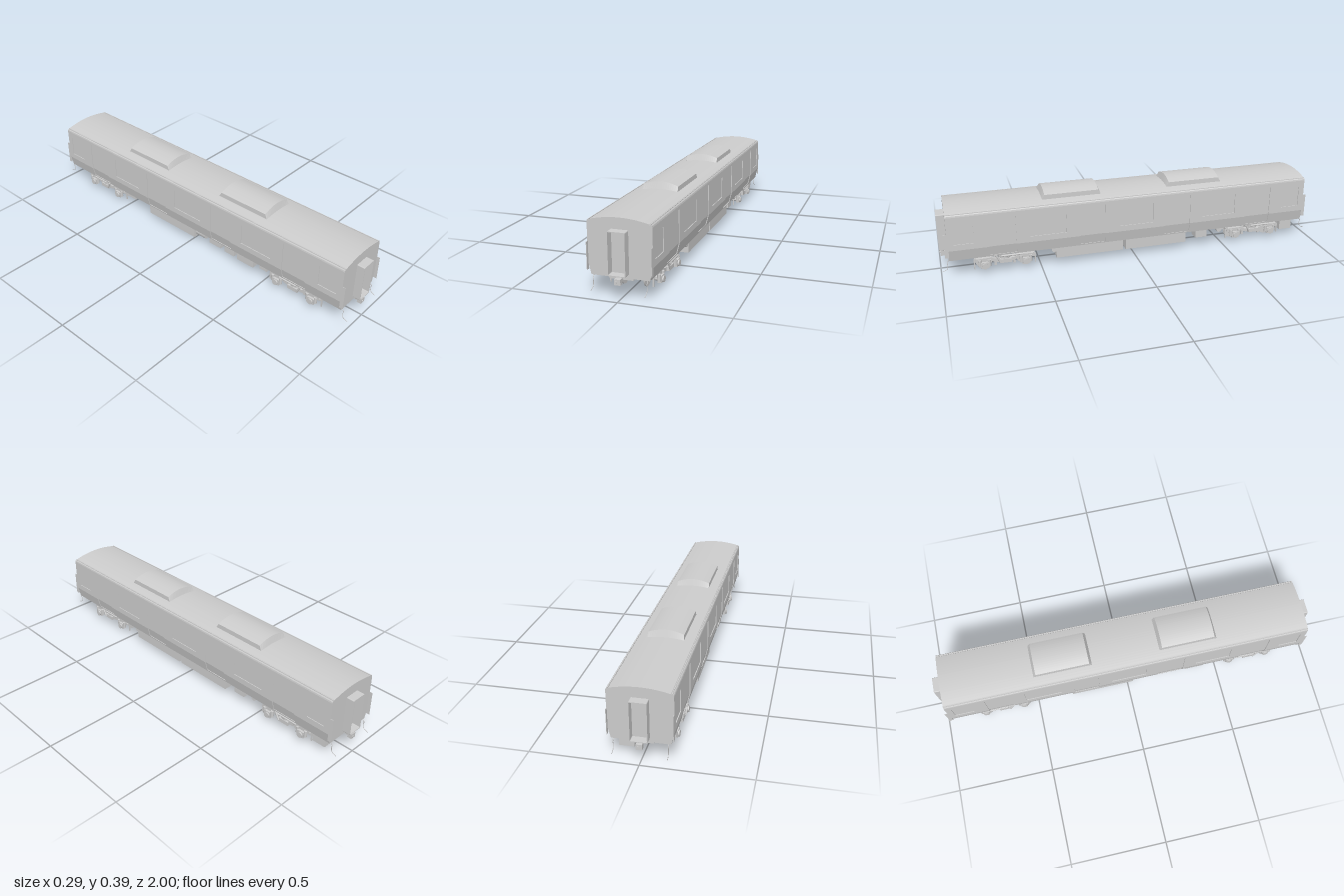
import * as THREE from 'three';

const mat = new THREE.MeshStandardMaterial({ color: 0xcccccc, side: THREE.DoubleSide });

function add(parent, name, geo, x = 0, y = 0, z = 0) {
  const m = new THREE.Mesh(geo, mat);
  m.name = name;
  m.position.set(x, y, z);
  parent.add(m);
  return m;
}

// Box given by its limits
function block(parent, name, x0, x1, y0, y1, z0, z1) {
  const geo = new THREE.BoxGeometry(Math.abs(x1 - x0), y1 - y0, z1 - z0);
  return add(parent, name, geo, (x0 + x1) / 2, (y0 + y1) / 2, (z0 + z1) / 2);
}

// Cylinder along x or z
function rod(parent, name, r, len, axis, x, y, z, sides = 24) {
  const geo = new THREE.CylinderGeometry(r, r, len, sides);
  if (axis === 'x') geo.rotateZ(Math.PI / 2);
  if (axis === 'z') geo.rotateX(Math.PI / 2);
  return add(parent, name, geo, x, y, z);
}

function polygon(points) {
  return new THREE.Shape(points.map(([x, y]) => new THREE.Vector2(x, y)));
}

// Cross-section in x,y drawn out between two z positions
function prism(parent, name, shape, z0, z1) {
  const geo = new THREE.ExtrudeGeometry(shape, { depth: z1 - z0, bevelEnabled: false, curveSegments: 12 });
  return add(parent, name, geo, 0, 0, z0);
}

const BOTTOM = 0.097, KNEE = 0.155, EAVE = 0.33, END = 0.96, RECESS = 0.004;
const sideX = y => (y < KNEE ? 0.133 + 0.014 * (y - BOTTOM) / (KNEE - BOTTOM) : 0.147);

function mirrorPoints(half) {
  return [...half, ...half.slice().reverse().map(([x, y]) => [-x, y])];
}

// Piece of side wall that follows the inward slope of the lower body
function skin(parent, name, side, z0, z1, y0, y1) {
  const ys = [y0, ...(y0 < KNEE && y1 > KNEE ? [KNEE] : []), y1];
  const outer = ys.map(y => [side * sideX(y), y]);
  const inner = ys.map(y => [side * (sideX(y) - RECESS), y]).reverse();
  prism(parent, name, polygon([...outer, ...inner]), z0, z1);
}

function buildBody(group) {
  const half = [[0.133 - RECESS, BOTTOM], [0.147 - RECESS, KNEE], [0.147 - RECESS, EAVE]];
  prism(group, 'bodyCore', polygon(mirrorPoints(half)), -END, END);

  const roof = [[0.147, EAVE], [0.1455, 0.337], [0.142, 0.341], [0.135, 0.34], [0.133, 0.343]];
  for (let i = 1; i <= 10; i++) {
    const x = 0.133 * (1 - i / 10);
    roof.push([x, 0.36 - 0.017 * (x / 0.133) ** 2]);
  }
  prism(group, 'roof', polygon([...roof, ...roof.slice(0, -1).reverse().map(([x, y]) => [-x, y])]), -END, END);

  // Openings along the side: centre, width, lower and upper edge
  const openings = [];
  for (const c of [-0.88, -0.46, 0, 0.46, 0.88])
    openings.push({ kind: 'window', c, w: Math.abs(c) > 0.8 ? 0.1 : 0.185, y0: 0.185, y1: 0.295 });
  for (const c of [-0.69, -0.23, 0.23, 0.69])
    openings.push({ kind: 'door', c, w: 0.136, y0: 0.104, y1: 0.315 });
  openings.sort((a, b) => a.c - b.c);

  for (const s of [-1, 1]) {
    let z = -END;
    for (const o of openings) {
      const a = o.c - o.w / 2, b = o.c + o.w / 2;
      skin(group, 'sidePanel', s, z, a, BOTTOM, EAVE);
      skin(group, o.kind + 'Sill', s, a, b, BOTTOM, o.y0);
      skin(group, o.kind + 'Header', s, a, b, o.y1, EAVE);
      z = b;
    }
    skin(group, 'sidePanel', s, z, END, BOTTOM, EAVE);
    block(group, 'gutter', s * 0.136, s * 0.14, 0.34, 0.3435, -END, END);
    for (const e of [-1, 1])
      block(group, 'cornerPlate', s * 0.1445, s * 0.147, 0.12, 0.245, e * 0.9655 - 0.0095, e * 0.9655 + 0.0095);
  }
}

// Roof unit: arched cross-sections, drawn in at both ends
function buildRoofPod(group, zc) {
  const section = (z, w, edge, top) => {
    const pts = [[-w - 0.001, 0.345, z]];
    for (let i = 0; i <= 16; i++) {
      const t = i / 8 - 1;
      pts.push([t * w, edge + (top - edge) * (1 - t * t), z]);
    }
    pts.push([w + 0.001, 0.345, z]);
    return pts;
  };
  const rings = [
    section(-0.152, 0.088, 0.353, 0.361), section(-0.139, 0.087, 0.376, 0.3945),
    section(0.139, 0.087, 0.376, 0.3945), section(0.152, 0.088, 0.353, 0.361)];
  const pos = [];
  for (let r = 0; r < 3; r++)
    for (let i = 0; i < 18; i++) {
      const [a, b, c, d] = [rings[r][i], rings[r][i + 1], rings[r + 1][i + 1], rings[r + 1][i]];
      pos.push(...a, ...d, ...b, ...b, ...d, ...c);
    }
  const geo = new THREE.BufferGeometry();
  geo.setAttribute('position', new THREE.Float32BufferAttribute(pos, 3));
  geo.computeVertexNormals();
  add(group, 'roofPod', geo, 0, 0, zc);
}

function roundedRect(path, w, y0, y1, r) {
  path.moveTo(-w + r, y0);
  path.lineTo(w - r, y0).quadraticCurveTo(w, y0, w, y0 + r);
  path.lineTo(w, y1 - r).quadraticCurveTo(w, y1, w - r, y1);
  path.lineTo(-w + r, y1).quadraticCurveTo(-w, y1, -w, y1 - r);
  path.lineTo(-w, y0 + r).quadraticCurveTo(-w, y0, -w + r, y0);
  return path;
}

// Gangway, coupler and hoses, built for the +z end
function buildEnd() {
  const end = new THREE.Group();
  end.name = 'endFittings';
  const frame = roundedRect(new THREE.Shape(), 0.04, 0.115, 0.309, 0.005);
  frame.holes.push(roundedRect(new THREE.Path(), 0.037, 0.118, 0.306, 0.004));
  prism(end, 'gangwayFrame', frame, 0.955, 1);
  block(end, 'couplerHead', -0.014, 0.014, 0.075, 0.101, 0.972, 0.995);
  block(end, 'couplerShank', -0.008, 0.008, 0.08, 0.096, 0.88, 0.972);
  rod(end, 'couplerPin', 0.005, 0.006, 'z', -0.005, 0.088, 0.996, 12);
  block(end, 'headstock', -0.055, 0.055, 0.085, 0.1, 0.925, 0.95);
  for (const s of [-1, 1]) {
    const curve = new THREE.CatmullRomCurve3([[0.1, 0.955], [0.085, 0.968], [0.07, 0.966], [0.05, 0.97], [0.04, 0.985], [0.038, 0.995]]
      .map(([y, z]) => new THREE.Vector3(s * 0.122, y, z)));
    add(end, 'hose', new THREE.TubeGeometry(curve, 24, 0.0015, 6));
  }
  return end;
}

function buildBogie(zc) {
  const bogie = new THREE.Group();
  bogie.name = 'bogie';
  bogie.position.z = zc;
  const AXLE = 0.104, AY = 0.042;

  // Side frame outline in z,y, lowered in the middle
  const top = [[0.15, 0.066], [0.145, 0.078], [0.07, 0.08], [0.045, 0.068]];
  const low = [[0.04, 0.05], [0.07, 0.06], [0.15, 0.06]];
  const right = [...low, ...top];
  const outline = polygon([...right, ...right.slice().reverse().map(([z, y]) => [-z, y])]);
  const frameGeo = new THREE.ExtrudeGeometry(outline, { depth: 0.022, bevelEnabled: false });
  frameGeo.rotateY(-Math.PI / 2);

  for (const e of [-1, 1]) {
    const z = e * AXLE;
    rod(bogie, 'axle', 0.011, 0.24, 'x', 0, AY, z);
    block(bogie, 'endBeam', -0.1, 0.1, 0.064, 0.074, e * 0.148 - 0.004, e * 0.148 + 0.004);
    for (const s of [-1, 1]) {
      rod(bogie, 'wheel', AY, 0.006, 'x', s * 0.053, AY, z, 32);
      rod(bogie, 'wheelHub', 0.018, 0.014, 'x', s * 0.057, AY, z);
      block(bogie, 'axleBox', s * 0.106, s * 0.126, 0.028, 0.06, z - 0.02, z + 0.02);
      rod(bogie, 'axleCap', 0.015, 0.01, 'x', s * 0.128, AY, z);
      for (const d of [-1, 1])
        rod(bogie, 'axleSpring', 0.008, 0.034, 'y', s * 0.116, 0.054, z + d * 0.024, 12);
      block(bogie, 'brakeHanger', s * 0.08, s * 0.092, 0.024, 0.075, e * 0.048 - 0.006, e * 0.048 + 0.006);
      block(bogie, 'lifeguard', s * 0.097, s * 0.103, 0.02, 0.072, e * 0.154 - 0.003, e * 0.154 + 0.003);
    }
  }
  for (const s of [-1, 1]) {
    add(bogie, 'sideFrame', frameGeo, s * 0.103 + 0.011);
    rod(bogie, 'airSpring', 0.027, 0.026, 'y', s * 0.1, 0.083, 0);
    block(bogie, 'springPlank', s * 0.08, s * 0.13, 0.05, 0.07, -0.03, 0.03);
    const damper = rod(bogie, 'damper', 0.005, 0.045, 'y', s * 0.132, 0.078, 0.037, 12);
    damper.rotation.x = 0.5;
    rod(bogie, 'yawDamper', 0.005, 0.1, 'z', s * 0.13, 0.089, -0.03, 12);
  }
  block(bogie, 'transom', -0.1, 0.1, 0.055, 0.078, -0.03, 0.03);
  rod(bogie, 'centrePivot', 0.025, 0.03, 'y', 0, 0.087, 0);
  return bogie;
}

function buildUnderframe(group) {
  const boxes = [
    // Left side
    [0.045, 0.122, 0.037, 0.065, 0.42], [0.045, 0.122, 0.037, -0.285, 0.05],
    [0.06, 0.115, 0.05, -0.41, -0.345], [0.04, 0.11, 0.036, -0.92, -0.85],
    // Right side
    [-0.122, -0.05, 0.037, -0.31, 0.03], [-0.115, -0.055, 0.05, 0.13, 0.21],
    [-0.115, -0.055, 0.045, 0.235, 0.3], [-0.12, -0.05, 0.045, 0.325, 0.43],
    [-0.11, -0.06, 0.056, 0.465, 0.51], [-0.11, -0.06, 0.06, -0.505, -0.44]];
  for (const [x0, x1, y0, z0, z1] of boxes)
    block(group, 'equipmentBox', x0, x1, y0, 0.1, z0, z1);
  rod(group, 'airTank', 0.027, 0.065, 'z', -0.086, 0.069, 0.06);
  rod(group, 'smallTank', 0.014, 0.08, 'x', 0.08, 0.084, 0.43);
  rod(group, 'smallTank', 0.014, 0.08, 'x', 0.08, 0.084, -0.48);
}

export function createModel() {
  const model = new THREE.Group();
  model.name = 'railCarriage';
  const body = new THREE.Group();
  body.name = 'body';
  const underframe = new THREE.Group();
  underframe.name = 'underframe';
  model.add(body, underframe);

  buildBody(body);
  buildRoofPod(body, 0.325);
  buildRoofPod(body, -0.335);
  buildUnderframe(underframe);

  const front = buildEnd();
  const back = buildEnd();
  back.rotation.y = Math.PI;
  model.add(front, back, buildBogie(0.682), buildBogie(-0.682));
  return model;
}
